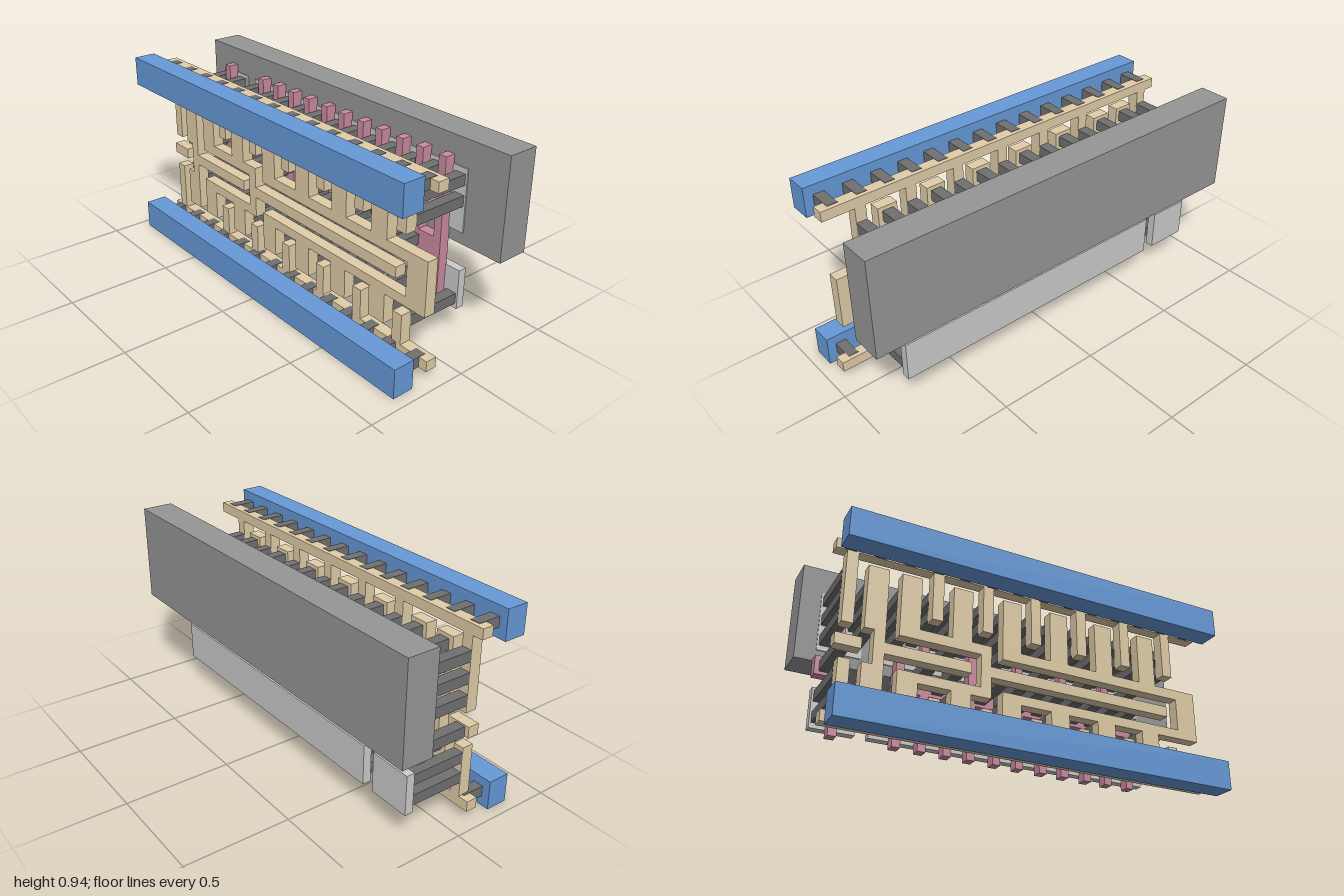
import * as THREE from 'three';

const MAT = {
  power: new THREE.MeshStandardMaterial({ color: 0x6699d8 }),
  metal: new THREE.MeshStandardMaterial({ color: 0xe0cda8 }),
  gate: new THREE.MeshStandardMaterial({ color: 0xc98aa0 }),
  contact: new THREE.MeshStandardMaterial({ color: 0x707070 }),
  well: new THREE.MeshStandardMaterial({ color: 0x969696 }),
  diffusion: new THREE.MeshStandardMaterial({ color: 0xcccccc }),
};

// Depth range (z) of each layer, front to back
const Z = {
  power: [0.225, 0.33],
  via: [0.115, 0.225],
  metal: [0.095, 0.15],
  gate: [-0.18, -0.13],
  diffusion: [-0.215, -0.175],
  well: [-0.33, -0.18],
};

export function createModel() {
  const model = new THREE.Group();
  model.name = 'layeredCircuitCell';

  // Box given by its x, y and z ranges
  function slab(name, mat, x0, x1, y0, y1, [z0, z1]) {
    const mesh = new THREE.Mesh(new THREE.BoxGeometry(x1 - x0, y1 - y0, z1 - z0), mat);
    mesh.position.set((x0 + x1) / 2, (y0 + y1) / 2, (z0 + z1) / 2);
    mesh.name = name;
    model.add(mesh);
  }
  const metal = (name, x0, x1, y0, y1) => slab(name, MAT.metal, x0, x1, y0, y1, Z.metal);
  // Square post from the metal layer back to depth z
  const post = (name, x, y, z) =>
    slab(name, MAT.contact, x - 0.026, x + 0.026, y - 0.025, y + 0.025, [z, 0.096]);

  // Well and diffusion plates
  slab('well', MAT.well, -1, 1, 0.455, 0.925, Z.well);
  for (const [x0, x1] of [[-0.905, -0.7], [-0.64, 0.8]]) {
    slab('upperDiffusion', MAT.diffusion, x0, x1, 0.51, 0.8, Z.diffusion);
    slab('lowerDiffusion', MAT.diffusion, x0, x1, 0.14, 0.33, Z.diffusion);
  }

  // Gate strips and the pads that join them
  const gates = [-0.813, -0.526, -0.406, -0.283, -0.166, -0.036, 0.083, 0.21, 0.329, 0.456, 0.575, 0.702];
  for (const x of gates) slab('gateStrip', MAT.gate, x - 0.02, x + 0.02, 0.103, 0.84, Z.gate);
  for (const [x0, x1] of [[-0.917, -0.79], [-0.553, -0.263], [-0.187, 0.722]]) {
    slab('gatePad', MAT.gate, x0, x1, 0.373, 0.462, Z.gate);
  }

  // Contacts from the middle bars to the gate pads
  const gateContacts = [-0.87, -0.475, -0.345];
  for (let i = 0; i < 8; i++) gateContacts.push(-0.127 + 0.1 * i);
  for (const x of gateContacts) post('gateContact', x, 0.413, -0.181);

  // Power rails, each a front bar, a metal strip and a row of vias
  for (const [y0, y1, m0, m1] of [[0, 0.14, 0.045, 0.095], [0.8, 0.94, 0.845, 0.893]]) {
    slab('powerRail', MAT.power, -0.945, 0.942, y0, y1, Z.power);
    metal('railStrip', -0.945, 0.942, m0, m1);
    for (let i = 0; i < 14; i++) {
      const x = -0.88 + 0.135 * i;
      slab('railVia', MAT.contact, x - 0.025, x + 0.025, m0 + 0.002, m1 + 0.002, Z.via);
    }
  }

  // Left column: rail fingers and first output
  metal('upperFinger', -0.895, -0.843, 0.5, 0.845);
  metal('lowerFinger', -0.895, -0.843, 0.095, 0.335);
  metal('inputTab', -0.917, -0.8, 0.393, 0.445);
  metal('upperDrain', -0.795, -0.7, 0.495, 0.8);
  metal('lowerDrain', -0.795, -0.7, 0.145, 0.335);
  metal('drainLink', -0.75, -0.7, 0.335, 0.495);
  metal('middleBar', -0.7, -0.298, 0.393, 0.445);
  for (const x of [-0.87, -0.745]) {
    for (const y of [0.19, 0.288, 0.56, 0.66, 0.757]) post('diffusionContact', x, y, -0.176);
  }

  // Repeating columns: rail fingers alternate with wide drains
  for (let i = 0; i < 6; i++) {
    const wide = -0.593 + 0.2465 * i;
    const finger = -0.468 + 0.2465 * i;
    metal('upperDrain', wide - 0.047, wide + 0.047, 0.545, 0.8);
    metal('lowerDrain', wide - 0.047, wide + 0.047, 0.145, 0.29);
    metal('upperFinger', finger - 0.026, finger + 0.026, 0.612, 0.845);
    metal('lowerFinger', finger - 0.026, finger + 0.026, 0.095, 0.238);
    for (const y of [0.19, 0.288, 0.56, 0.66, 0.757]) post('diffusionContact', wide, y, -0.176);
    for (const y of [0.19, 0.655, 0.75]) post('diffusionContact', finger, y, -0.176);
  }

  // Second stage: two bars, their link and the bar to the last gates
  metal('stageUpperBar', -0.64, -0.203, 0.495, 0.545);
  metal('stageLowerBar', -0.64, -0.203, 0.29, 0.336);
  metal('stageLink', -0.253, -0.203, 0.336, 0.495);
  metal('middleBar', -0.203, 0.745, 0.393, 0.445);

  // Output: two bars closed by a block at the end
  metal('outputUpperBar', -0.147, 0.805, 0.495, 0.545);
  metal('outputLowerBar', -0.147, 0.805, 0.29, 0.336);
  metal('outputBlock', 0.805, 0.915, 0.29, 0.545);

  return model;
}
